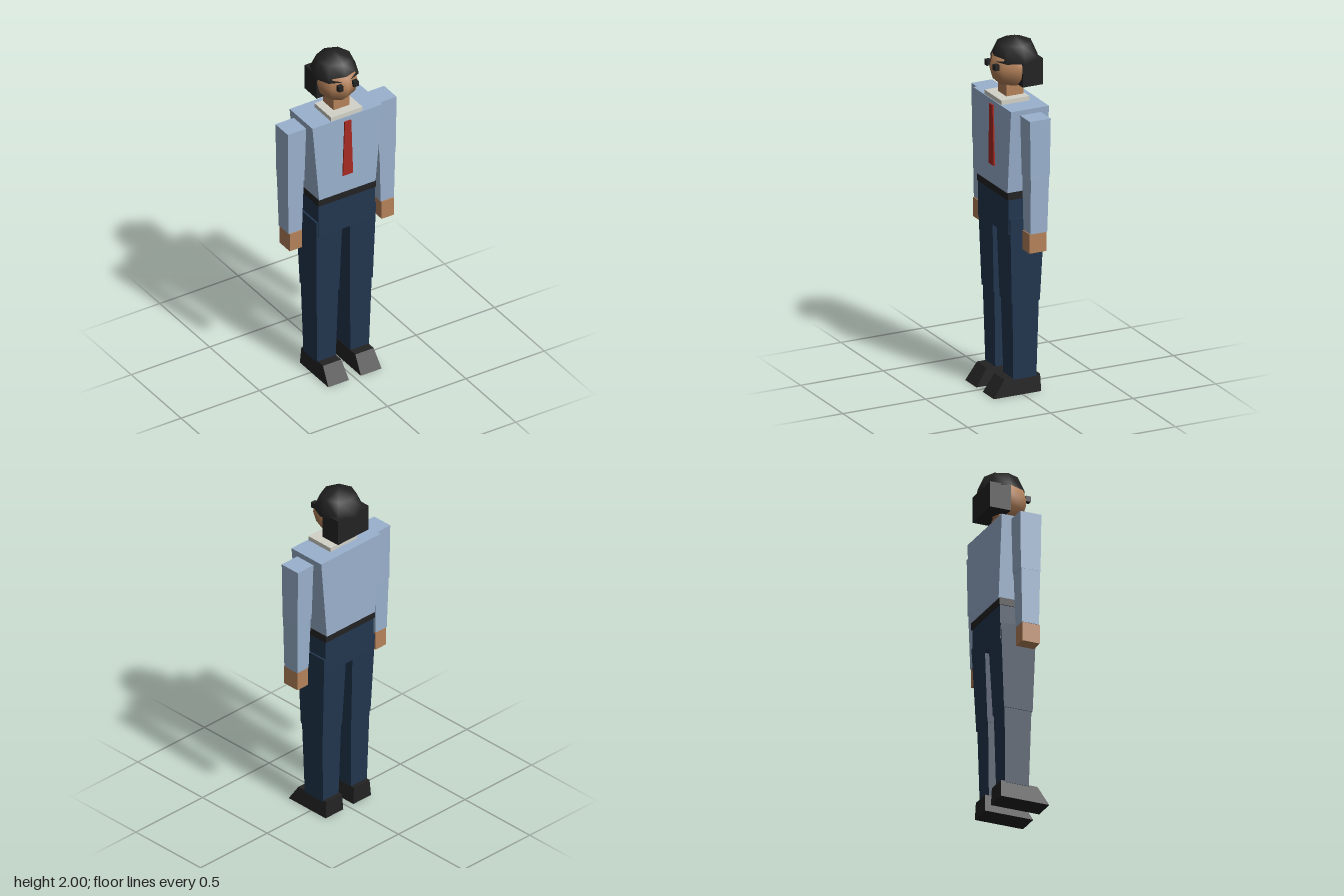
import * as THREE from 'three';

const mat = (name, color, side = THREE.FrontSide) => {
  const m = new THREE.MeshStandardMaterial({ color, side });
  m.name = name;
  return m;
};

export function createModel() {
  const group = new THREE.Group();
  const shirt = mat('shirt blue', 0x9ab1cd);
  const navy = mat('trouser navy', 0x22364f);
  const black = mat('black', 0x232323, THREE.DoubleSide);
  const skin = mat('skin', 0xb5825a);
  const white = mat('collar white', 0xd2d2c8);
  const red = mat('tie red', 0xa82a22);

  const add = (name, geo, material) => {
    const mesh = new THREE.Mesh(geo, material);
    mesh.name = name;
    group.add(mesh);
    return mesh;
  };

  // Tapered block between two rectangles, each given as [x0, x1, z0, z1]
  const block = (name, material, y0, y1, bottom, top = bottom) => {
    const geo = new THREE.BoxGeometry(1, 1, 1);
    const p = geo.attributes.position;
    for (let i = 0; i < p.count; i++) {
      const up = p.getY(i) > 0;
      const r = up ? top : bottom;
      p.setXYZ(i, p.getX(i) < 0 ? r[0] : r[1], up ? y1 : y0, p.getZ(i) < 0 ? r[2] : r[3]);
    }
    geo.computeVertexNormals();
    return add(name, geo, material);
  };

  // Body
  block('torso', shirt, 1.17, 1.65, [-0.18, 0.18, -0.132, 0.096], [-0.223, 0.223, -0.133, 0.097]);
  block('belt', black, 1.13, 1.172, [-0.184, 0.184, -0.128, 0.096]);
  block('pelvis', navy, 0.93, 1.13, [-0.18, 0.18, -0.123, 0.09]);
  block('collar', white, 1.65, 1.675, [-0.1, 0.1, -0.077, 0.092]);
  block('tie', red, 1.28, 1.625, [-0.032, 0.032, 0.094, 0.104], [-0.02, 0.02, 0.095, 0.105]);
  block('neck', skin, 1.67, 1.76, [-0.05, 0.05, -0.068, 0.037]);

  // Limbs, mirrored left and right
  for (const [side, s] of [['left', 1], ['right', -1]]) {
    const limb = (name, material, y0, y1, bottom, top = bottom) => {
      const flip = (r) => (s > 0 ? r : [-r[1], -r[0], r[2], r[3]]);
      block(side + name, material, y0, y1, flip(bottom), flip(top));
    };
    limb('UpperArm', shirt, 1.29, 1.625, [0.239, 0.344, -0.075, 0.041], [0.23, 0.347, -0.08, 0.045]);
    limb('Forearm', shirt, 0.975, 1.29, [0.251, 0.336, -0.064, 0.036], [0.242, 0.343, -0.072, 0.039]);
    limb('Hand', skin, 0.865, 0.975, [0.254, 0.333, -0.062, 0.042]);
    limb('Thigh', navy, 0.53, 1.02, [0.035, 0.179, -0.1, 0.07], [0.022, 0.191, -0.123, 0.085]);
    limb('Shin', navy, 0.09, 0.53, [0.047, 0.165, -0.086, 0.054], [0.037, 0.176, -0.095, 0.064]);
    limb('Shoe', black, 0, 0.098, [0.038, 0.17, -0.113, 0.173], [0.045, 0.162, -0.11, 0.106]);
    limb('Eye', black, 1.835, 1.867, [0.033, 0.063, 0.085, 0.112]);
  }

  // Head, hair at the back and domed cap
  const head = add('head', new THREE.SphereGeometry(1, 8, 6), skin);
  head.scale.set(0.118, 0.12, 0.13);
  head.position.set(0, 1.835, -0.018);
  block('backHair', black, 1.735, 1.885, [-0.115, 0.115, -0.152, -0.03]);
  const cap = add('cap', new THREE.SphereGeometry(1, 8, 2, 0, Math.PI * 2, 0, Math.PI / 2), black);
  cap.scale.set(0.1375, 0.125, 0.1375);
  cap.position.set(0, 1.875, -0.038);

  return group;
}
